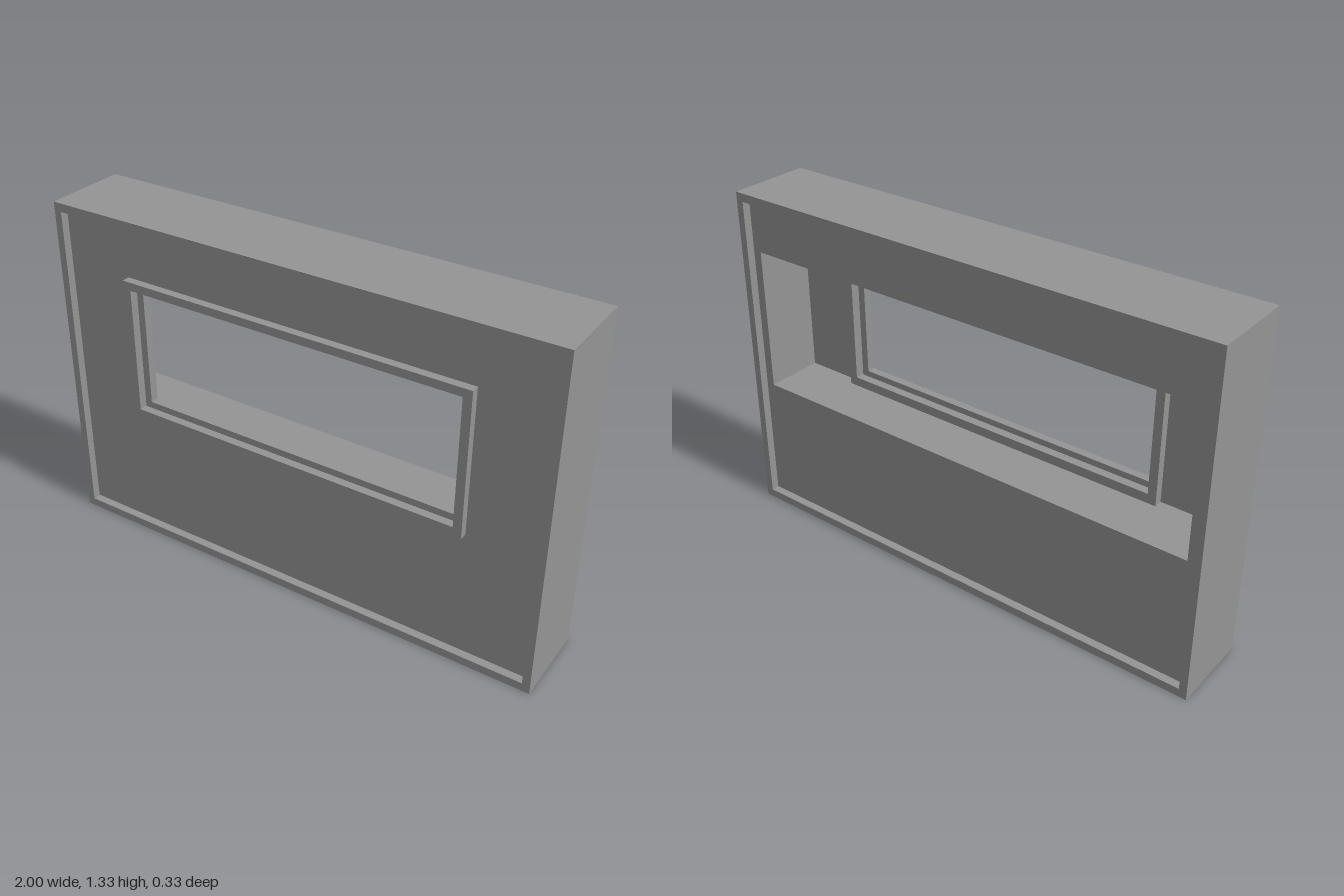
import * as THREE from 'three';

// Rectangular plate with a rectangular opening, spanning z0..z1.
// Rectangles are [halfWidth, yBottom, yTop].
function ring(name, outer, inner, z0, z1, material) {
  const trace = (path, [w, b, t]) => {
    path.moveTo(-w, b);
    path.lineTo(w, b);
    path.lineTo(w, t);
    path.lineTo(-w, t);
    path.closePath();
    return path;
  };
  const shape = trace(new THREE.Shape(), outer);
  shape.holes.push(trace(new THREE.Path(), inner));
  const geometry = new THREE.ExtrudeGeometry(shape, { depth: z1 - z0, bevelEnabled: false });
  geometry.translate(0, 0, z0);
  const mesh = new THREE.Mesh(geometry, material);
  mesh.name = name;
  return mesh;
}

export function createModel() {
  const group = new THREE.Group();
  group.name = 'windowWall';
  const grey = new THREE.MeshStandardMaterial({ color: 0x949494 });
  grey.name = 'wall grey';

  const border = [0.97, 0.033, 1.3];
  const niche = [0.935, 0.533, 1.1];
  const trim = [0.7, 0.533, 1.1];
  const slot = [0.696, 0.537, 1.096];
  const opening = [0.667, 0.57, 1.068];

  group.add(
    // Outer casing whose rim stands proud on both faces
    ring('outerCasing', [1, 0, 1.333], border, -0.165, 0.165, grey),
    // Front skin, cut back to leave a glazing groove
    ring('frontPanel', border, slot, 0.1, 0.133, grey),
    // Thick inner wall with the wide niche open to the back
    ring('innerWall', border, niche, -0.133, 0.1, grey),
    // Window trim on both sides of the front skin
    ring('frontWindowFrame', trim, opening, 0.133, 0.165, grey),
    ring('backWindowFrame', trim, opening, 0.066, 0.1, grey),
  );
  return group;
}
